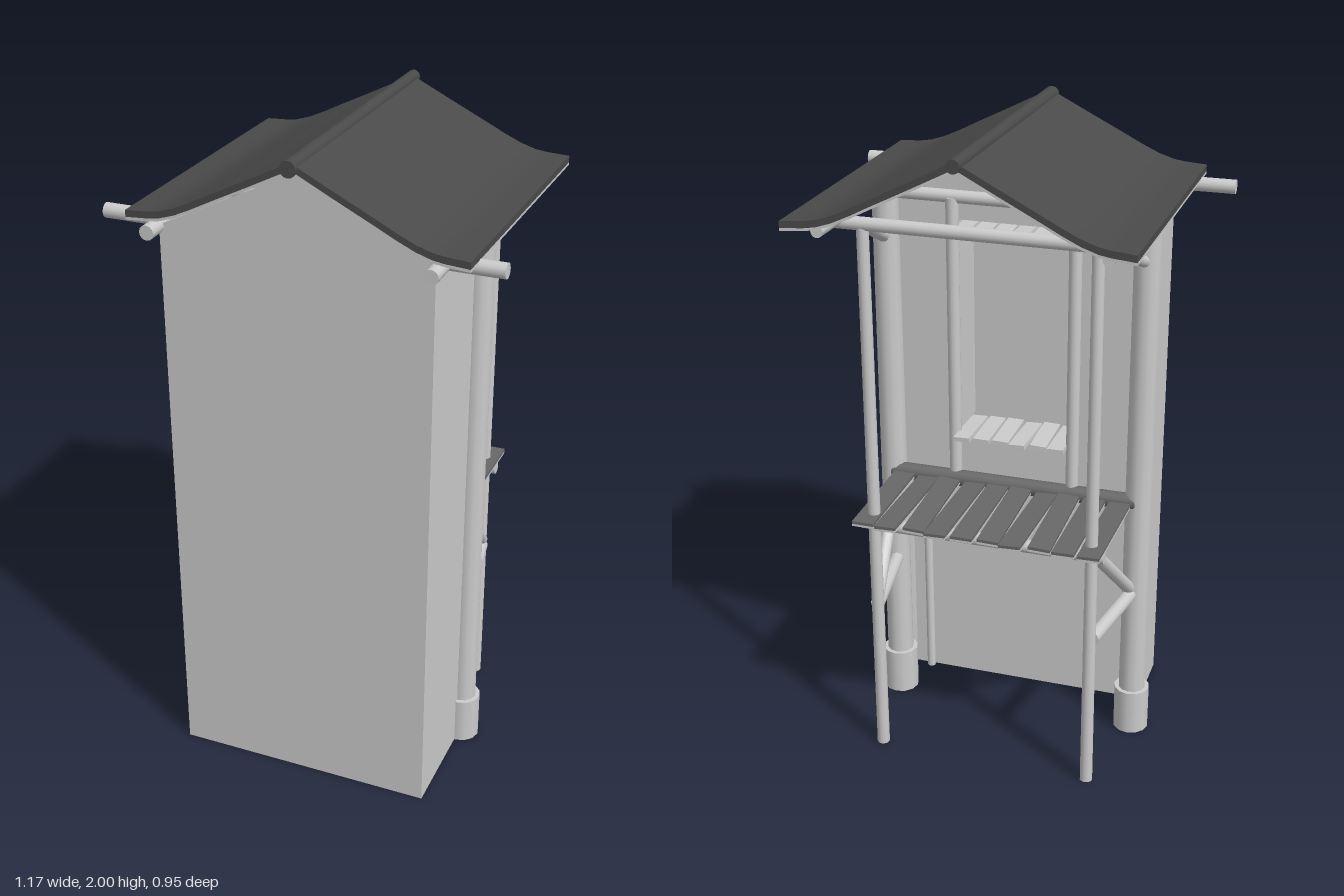
import * as THREE from 'three';

const mat = new THREE.MeshStandardMaterial({ color: 0xcccccc });
const thin = new THREE.MeshStandardMaterial({ color: 0xcccccc, side: THREE.DoubleSide });
const tiles = new THREE.MeshStandardMaterial({ color: 0x4a4a4a });
const boards = new THREE.MeshStandardMaterial({ color: 0x686868 });
const pale = new THREE.MeshStandardMaterial({ color: 0xffffff });
const UP = new THREE.Vector3(0, 1, 0);
const outline = points => points.map(p => new THREE.Vector2(...p));

export function createModel() {
  const model = new THREE.Group();
  model.name = 'gatehouse';
  const frame = new THREE.Group();
  frame.name = 'house';
  frame.position.x = 0.01;
  model.add(frame);

  const add = (name, geo, material = mat) => {
    const m = new THREE.Mesh(geo, material);
    m.name = name;
    frame.add(m);
    return m;
  };
  // Round log between two points
  const log = (name, a, b, r, r2 = r, material = mat) => {
    const p = new THREE.Vector3(...a), q = new THREE.Vector3(...b);
    const d = q.clone().sub(p);
    const m = add(name, new THREE.CylinderGeometry(r2, r, d.length(), 12), material);
    m.position.copy(p).add(q).multiplyScalar(0.5);
    m.quaternion.setFromUnitVectors(UP, d.normalize());
  };
  // Row of slightly uneven planks running front to back
  const planks = (name, count, halfWidth, y, z0, z1, thick, material) => {
    const step = (2 * halfWidth) / count;
    for (let i = 0; i < count; i++) {
      const wobble = Math.sin(i * 2.4 + count);
      const m = add(name, new THREE.BoxGeometry(step * 0.86, thick, z1 - z0 - 0.015), material);
      m.position.set(-halfWidth + step * (i + 0.5), y, (z0 + z1) / 2 + wobble * 0.007);
      m.rotation.set(0, wobble * 0.03, wobble * 0.06);
    }
  };
  // Gabled wall standing on height y0
  const gable = y0 => new THREE.Shape(outline(
    [[-0.4, y0], [0.4, y0], [0.4, 1.755], [0, 1.95], [-0.4, 1.755]]));
  // Flat rectangular panel
  const panel = (name, w, h, position, rx = 0, ry = 0) => {
    const m = add(name, new THREE.PlaneGeometry(w, h), thin);
    m.position.set(...position);
    m.rotation.set(rx, ry, 0);
  };

  // Front wall, and rear upper wall with its window opening
  add('frontWall', new THREE.ShapeGeometry(gable(0)), thin).position.z = 0.415;
  const rear = gable(0.83);
  rear.holes.push(new THREE.Path(outline([[-0.19, 0.97], [-0.19, 1.67], [0.19, 1.67], [0.19, 0.97]])));
  add('rearWall', new THREE.ShapeGeometry(rear), thin).position.z = 0.06;

  // Recessed lower wall, soffit above it, and back of the window alcove
  panel('lowerWall', 0.8, 0.83, [0, 0.415, 0.2]);
  panel('soffit', 0.8, 0.14, [0, 0.83, 0.13], Math.PI / 2);
  panel('alcoveBack', 0.38, 0.7, [0, 1.32, 0.24]);

  for (const s of [-1, 1]) {
    panel('sideWall', 0.375, 1.75, [s * 0.4, 0.875, 0.2275], 0, s * Math.PI / 2);
    panel('alcoveSide', 0.18, 0.7, [s * 0.19, 1.32, 0.15], 0, s * Math.PI / 2);

    // Main pillar with its thicker foot
    log('pillar', [s * 0.403, 0.1, 0.052], [s * 0.403, 1.74, 0.052], 0.043, 0.041);
    log('pillarFoot', [s * 0.403, 0, 0.052], [s * 0.403, 0.15, 0.052], 0.057);

    // Porch post, window post and lower wall post
    log('porchPost', [s * 0.34, 0, -0.28], [s * 0.34, 1.74, -0.28], 0.02, 0.018);
    log('windowPost', [s * 0.19, 0.81, 0.045], [s * 0.19, 1.74, 0.045], 0.02);
    log('wallPost', [s * 0.345, 0, 0.19], [s * 0.345, 0.84, 0.19], 0.014);

    // Roof braces, eave purlins, porch rails and diagonals
    log('roofBrace', [s * 0.4, 1.61, 0.02], [s * 0.345, 1.735, -0.27], 0.018);
    log('eavePurlin', [s * 0.407, 1.75, 0.475], [s * 0.407, 1.76, -0.44], 0.022, 0.018);
    log('porchRail', [s * 0.395, 0.51, 0.03], [s * 0.345, 0.51, -0.27], 0.022);
    log('porchDiagonal', [s * 0.39, s > 0 ? 0.78 : 0.53, 0.02],
      [s * 0.345, s > 0 ? 0.53 : 0.8, -0.27], 0.02);
  }

  // Cross beams
  log('frontBeam', [-0.595, 1.752, 0.362], [0.575, 1.752, 0.362], 0.022);
  log('pillarBeam', [-0.44, 1.742, 0.052], [0.44, 1.742, 0.052], 0.02);
  log('porchBeam', [-0.42, 1.742, -0.28], [0.42, 1.742, -0.28], 0.02);
  log('platformBeam', [-0.4, 0.828, 0.035], [0.4, 0.828, 0.035], 0.026, 0.026, boards);
  log('platformBeam', [-0.38, 0.8, -0.282], [0.38, 0.8, -0.282], 0.02);
  log('wallRail', [-0.36, 0.815, 0.19], [0.36, 0.815, 0.19], 0.014);

  // Platform with weathered top and pale underside, window sill and hood
  planks('platformPlank', 10, 0.39, 0.83, -0.36, 0.015, 0.009, boards);
  planks('platformUnderside', 10, 0.39, 0.822, -0.36, 0.015, 0.007, pale);
  planks('windowSill', 6, 0.18, 0.985, -0.015, 0.18, 0.014);
  planks('windowHood', 6, 0.18, 1.65, 0.01, 0.19, 0.014);

  // Roof slopes flaring towards the eaves: dark covering over a pale lining
  const slope = new THREE.CatmullRomCurve3([[0, 1.978], [0.2, 1.878], [0.38, 1.795], [0.495, 1.782]]
    .map(([x, y]) => new THREE.Vector3(x, y, 0)));
  const roofLayer = (name, side, lift, thick, material) => {
    const geo = new THREE.BoxGeometry(1, thick, 1, 10, 1, 4);
    const pos = geo.attributes.position;
    for (let i = 0; i < pos.count; i++) {
      const t = 0.5 + side * pos.getX(i);
      const p = slope.getPoint(t);
      const z = THREE.MathUtils.lerp(-0.455 - 0.02 * t, 0.438, pos.getZ(i) + 0.5);
      pos.setXYZ(i, side * p.x + 0.005, p.y + lift + pos.getY(i), z);
    }
    geo.computeVertexNormals();
    add(name, geo, material);
  };
  for (const s of [-1, 1]) {
    roofLayer('roofCovering', s, 0, 0.02, tiles);
    roofLayer('roofLining', s, -0.014, 0.008, pale);
  }
  log('ridgePole', [0.002, 1.972, 0.447], [0.002, 1.98, -0.475], 0.024, 0.02, tiles);

  return model;
}
